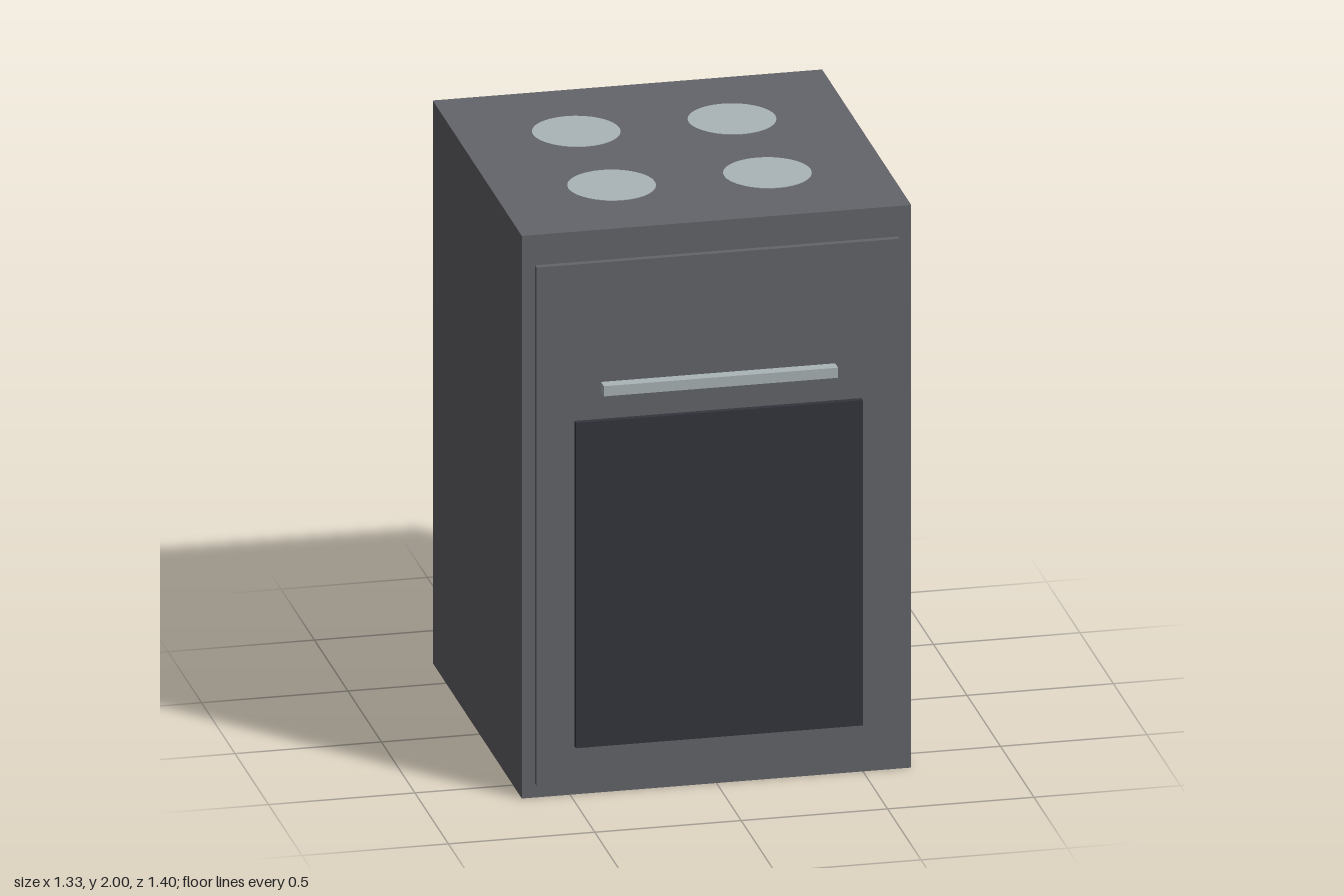
import * as THREE from 'three';

export function createModel() {
  const model = new THREE.Group();
  model.name = 'cooker';

  const enamel = new THREE.MeshStandardMaterial({ color: 0x64656a });
  const glass = new THREE.MeshStandardMaterial({ color: 0x34343e });
  const steel = new THREE.MeshStandardMaterial({ color: 0xaab4b6 });

  // Box centred on x, given its width and its y and z ranges
  function addBox(name, material, width, y0, y1, z0, z1) {
    const mesh = new THREE.Mesh(new THREE.BoxGeometry(width, y1 - y0, z1 - z0), material);
    mesh.position.set(0, (y0 + y1) / 2, (z0 + z1) / 2);
    mesh.name = name;
    model.add(mesh);
  }

  const top = 1.998;
  addBox('body', enamel, 1.33, 0, top, -0.698, 0.632);
  addBox('ovenDoor', enamel, 1.24, 0.05, 1.89, 0.632, 0.655);
  addBox('ovenWindow', glass, 0.98, 0.18, 1.335, 0.655, 0.676);
  addBox('doorHandle', steel, 0.8, 1.43, 1.466, 0.655, 0.698);

  // Four thin hob plates, almost flush with the top
  const plate = new THREE.CylinderGeometry(0.148, 0.148, 0.004, 32);
  for (const x of [-0.266, 0.266]) {
    for (const z of [-0.3, 0.228]) {
      const burner = new THREE.Mesh(plate, steel);
      burner.position.set(x, top, z);
      burner.name = (z > 0 ? 'front' : 'back') + (x > 0 ? 'Left' : 'Right') + 'Burner';
      model.add(burner);
    }
  }

  return model;
}
